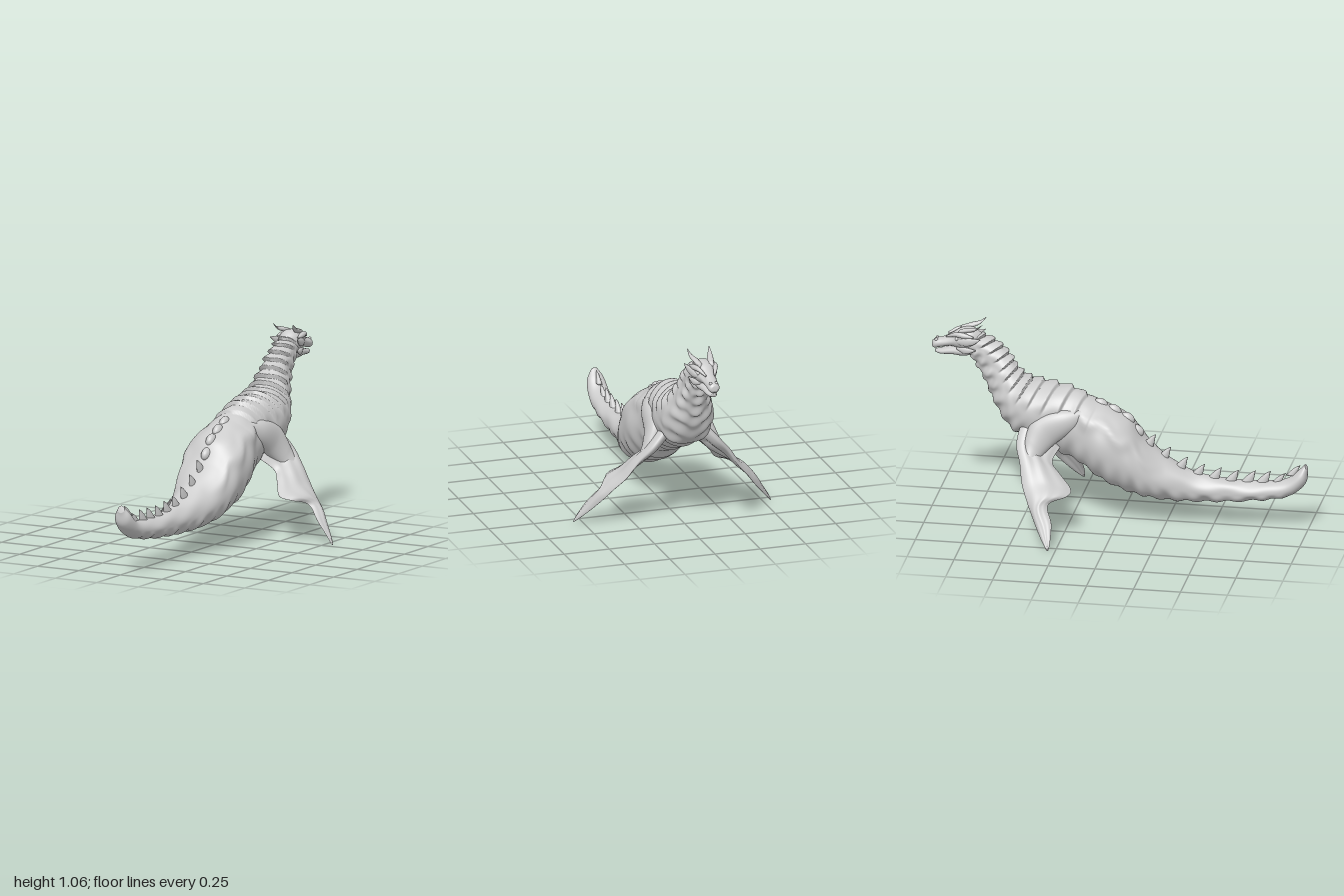
import * as THREE from 'three';

const material = new THREE.MeshStandardMaterial({ color: 0xcccccc });
const { smoothstep } = THREE.MathUtils;
const gauss = (x, s) => Math.exp(-(x * x) / (s * s));

// Smooth skin over cross-sections. Each row: [edge A xyz, edge B xyz, half thickness].
// bump(i, a) pushes the skin outward, camber(i) arches the section.
function loft(name, rows, { rings = 24, sides = 16, bump, camber, round = () => 1 } = {}) {
  const curve = (f) => new THREE.CatmullRomCurve3(rows.map(f), false, 'catmullrom', 0.5);
  const curveA = curve((r) => new THREE.Vector3(r[0], r[1], r[2]));
  const curveB = curve((r) => new THREE.Vector3(r[3], r[4], r[5]));
  const curveW = curve((r, k) => new THREE.Vector3(r[6], k, 0));
  const middle = (t) => curveA.getPoint(t).add(curveB.getPoint(t)).multiplyScalar(0.5);
  const pos = [], index = [];
  for (let r = 0; r <= rings; r++) {
    const t = r / rings, i = t * (rows.length - 1);
    const c = middle(t);
    const along = middle(Math.min(1, t + 0.005)).sub(middle(Math.max(0, t - 0.005)));
    const up = curveA.getPoint(t).sub(c), h = up.length();
    up.normalize();
    const side = along.cross(up).normalize();
    const w = Math.max(curveW.getPoint(t).x, 0.0005);
    for (let s = 0; s < sides; s++) {
      const a = (s / sides) * Math.PI * 2;
      const cos = Math.cos(a), sin = Math.sin(a), d = bump ? bump(i, a) : 0;
      const arch = camber ? camber(i) * sin * sin : 0;
      const p = c.clone().addScaledVector(up, cos * (h + d)).addScaledVector(side, sin * (w * round(cos) + d) + arch);
      pos.push(p.x, p.y, p.z);
    }
  }
  for (let r = 0; r < rings; r++) for (let s = 0; s < sides; s++) {
    const a = r * sides + s, b = r * sides + (s + 1) % sides;
    index.push(a, b, a + sides, b, b + sides, a + sides);
  }
  // end caps
  for (const [t, start] of [[0, 0], [1, rings * sides]]) {
    const c = middle(t), k = pos.length / 3;
    pos.push(c.x, c.y, c.z);
    for (let s = 0; s < sides; s++) {
      const a = start + s, b = start + (s + 1) % sides;
      if (t) index.push(k, a, b); else index.push(k, b, a);
    }
  }
  const g = new THREE.BufferGeometry();
  g.setAttribute('position', new THREE.Float32BufferAttribute(pos, 3));
  g.setIndex(index);
  g.computeVertexNormals();
  const mesh = new THREE.Mesh(g, material);
  mesh.name = name;
  return mesh;
}

// Section row lying on the centre line: top z, top y, bottom z, bottom y, half width
const midRow = ([tz, ty, bz, by, w]) => [0, ty, tz, 0, by, bz, w];

// Tapering limb through points [x, y, z, radius, thickness]
const limb = (name, points, up, options) => loft(name, points.map(([x, y, z, r, w = r]) => [
  x + up[0] * r, y + up[1] * r, z + up[2] * r, x - up[0] * r, y - up[1] * r, z - up[2] * r, w]), options);

function addPair(group, mesh) {
  const g = mesh.geometry.clone().scale(-1, 1, 1), ix = g.index.array;
  for (let k = 0; k < ix.length; k += 3) [ix[k], ix[k + 1]] = [ix[k + 1], ix[k]];
  g.computeVertexNormals();
  const other = new THREE.Mesh(g, material);
  other.name = 'right' + mesh.name;
  mesh.name = 'left' + mesh.name;
  group.add(mesh, other);
}

// Overlapping back plates, belly folds and side contours
function bodyRelief(i, a) {
  const cos = Math.cos(a), bend = Math.acos(cos);
  const plates = smoothstep(i, 9.4, 10.5) * (1 - smoothstep(i, 17.5, 18));
  const phase = i * 1.5 - bend * 0.45 + 10;
  const f = phase - Math.floor(phase);
  const step = Math.min(f / 0.12, 1) * (1 - f);
  let d = plates * smoothstep(cos, 0.15, 0.55) * (0.022 * step - 0.004);
  const fold = smoothstep(i, 1.5, 3) * (1 - smoothstep(i, 17, 18));
  d += fold * smoothstep(-cos, 0.1, 0.6) * 0.005 * Math.sin(i * 9);
  // shield edge over the hips
  const hip = smoothstep(i, 6, 7.5) * (1 - smoothstep(i, 9.8, 10.6));
  d += hip * 0.013 * gauss(bend - 0.95 - 0.12 * Math.sin(i * 4), 0.2);
  // throat and chest lumps
  const chest = smoothstep(i, 12, 13) * (1 - smoothstep(i, 17, 18));
  d += chest * smoothstep(-cos, -0.3, 0.4) * 0.006 * Math.sin(i * 8) * Math.cos(a * 5);
  return d + 0.003 * smoothstep(i, 2, 4) * (1 - smoothstep(i, 16, 18)) * Math.sin(i * 4.3) * Math.cos(a * 4);
}

const BODY = [
  [0.985, 0.37, 1.0, 0.335, 0.02], [0.955, 0.34, 0.985, 0.26, 0.048],
  [0.88, 0.28, 0.9, 0.19, 0.058], [0.75, 0.26, 0.76, 0.16, 0.064],
  [0.58, 0.26, 0.58, 0.14, 0.068], [0.4, 0.285, 0.42, 0.13, 0.075],
  [0.25, 0.36, 0.28, 0.13, 0.115], [0.13, 0.46, 0.15, 0.145, 0.157],
  [0.05, 0.57, 0.03, 0.175, 0.174], [-0.06, 0.63, -0.1, 0.235, 0.176],
  [-0.17, 0.675, -0.22, 0.32, 0.145], [-0.28, 0.72, -0.34, 0.37, 0.138],
  [-0.4, 0.74, -0.47, 0.43, 0.15], [-0.49, 0.76, -0.58, 0.49, 0.145],
  [-0.545, 0.805, -0.655, 0.6, 0.112], [-0.58, 0.865, -0.7, 0.7, 0.083],
  [-0.625, 0.92, -0.745, 0.79, 0.067], [-0.69, 0.965, -0.79, 0.86, 0.06],
  [-0.77, 0.995, -0.83, 0.885, 0.05],
];

export function createModel() {
  const model = new THREE.Group();
  model.name = 'seaDragon';
  model.add(loft('body', BODY.map(midRow), { rings: 420, sides: 72, bump: bodyRelief }));

  // Skull with upper snout, and lower jaw
  const head = new THREE.Group();
  head.name = 'head';
  head.add(loft('skull', [
    [-0.73, 0.985, -0.75, 0.92, 0.03], [-0.78, 1.018, -0.79, 0.9, 0.06],
    [-0.84, 1.015, -0.845, 0.9, 0.058], [-0.89, 0.985, -0.89, 0.912, 0.044],
    [-0.94, 0.958, -0.94, 0.905, 0.034], [-0.98, 0.948, -0.985, 0.895, 0.03],
    [-0.997, 0.935, -1.0, 0.905, 0.016],
  ].map(midRow), { rings: 48, sides: 32, bump: (i, a) => -0.008 * gauss(i - 3, 0.8) * gauss(Math.acos(Math.cos(a)) - 1.1, 0.4) }));
  head.add(loft('jaw', [
    [-0.76, 0.93, -0.79, 0.87, 0.035], [-0.82, 0.925, -0.83, 0.862, 0.05],
    [-0.89, 0.912, -0.89, 0.866, 0.038], [-0.95, 0.895, -0.95, 0.864, 0.028],
    [-0.982, 0.888, -0.98, 0.87, 0.014],
  ].map(midRow), { rings: 32, sides: 24 }));
  addPair(head, limb('Horn', [
    [0.03, 1.005, -0.85, 0.014], [0.04, 1.017, -0.8, 0.017],
    [0.053, 1.03, -0.755, 0.012], [0.06, 1.058, -0.722, 0.002]], [0, 0.85, 0.5]));
  addPair(head, limb('Brow', [
    [0.025, 0.97, -0.92, 0.005], [0.045, 0.99, -0.87, 0.012],
    [0.057, 0.99, -0.82, 0.014], [0.062, 0.985, -0.77, 0.004]], [0, 1, 0]));
  addPair(head, limb('CheekFrill', [
    [0.04, 0.95, -0.87, 0.008], [0.058, 0.955, -0.82, 0.022, 0.012],
    [0.071, 0.965, -0.77, 0.018, 0.009], [0.081, 0.982, -0.73, 0.002]], [0, 1, 0]));
  addPair(head, limb('JawFrill', [
    [0.035, 0.91, -0.86, 0.008], [0.053, 0.905, -0.81, 0.018, 0.01],
    [0.066, 0.915, -0.755, 0.002]], [0, 1, 0]));
  const eye = new THREE.Mesh(new THREE.SphereGeometry(0.01, 16, 12), material);
  eye.geometry.translate(0.045, 0.966, -0.86);
  eye.name = 'Eye';
  addPair(head, eye);
  const nostril = new THREE.Mesh(new THREE.SphereGeometry(0.009, 12, 8), material);
  nostril.geometry.translate(0.016, 0.945, -0.975);
  nostril.name = 'NostrilBump';
  addPair(head, nostril);
  model.add(head);

  // Shoulder muscle flowing into the flipper
  addPair(model, limb('Shoulder', [
    [0.09, 0.62, -0.16, 0.015], [0.115, 0.575, -0.27, 0.07, 0.045],
    [0.13, 0.51, -0.38, 0.09, 0.05], [0.17, 0.435, -0.43, 0.07, 0.04],
    [0.22, 0.375, -0.44, 0.045, 0.022], [0.27, 0.32, -0.43, 0.02, 0.006]],
  [0, 0.75, -0.6], { rings: 40, sides: 28 }));

  // Flipper: leading edge, trailing edge with two lobes, half thickness
  addPair(model, loft('Flipper', [
    [0.1, 0.54, -0.51, 0.1, 0.42, -0.3, 0.04], [0.18, 0.45, -0.52, 0.17, 0.36, -0.33, 0.034],
    [0.25, 0.37, -0.49, 0.215, 0.31, -0.28, 0.026], [0.31, 0.28, -0.468, 0.265, 0.25, -0.215, 0.02],
    [0.37, 0.21, -0.432, 0.33, 0.23, -0.228, 0.016], [0.42, 0.145, -0.395, 0.385, 0.2, -0.315, 0.014],
    [0.48, 0.075, -0.35, 0.455, 0.125, -0.285, 0.011], [0.525, 0.025, -0.312, 0.515, 0.05, -0.28, 0.008],
    [0.545, 0.004, -0.292, 0.54, 0.008, -0.284, 0.003]], {
    rings: 64, sides: 48,
    round: (cos) => 0.5 + 0.5 * cos + 0.12 * (1 + Math.cos(cos * 9)),
    camber: (i) => 0.03 * gauss(i - 4, 2.2),
  }));

  // Hooked spines along the tail and knobs on the hips
  const spines = [[0.93, 0.315], [0.85, 0.265], [0.77, 0.255], [0.69, 0.252], [0.6, 0.25],
    [0.51, 0.258], [0.42, 0.27], [0.33, 0.305], [0.24, 0.355], [0.16, 0.42]];
  spines.forEach(([z, y], k) => {
    const s = k < 2 ? 0.75 : 1;
    model.add(limb('tailSpine' + (k + 1), [
      [0, y - 0.01, z - 0.02, 0.035 * s, 0.02 * s], [0, y + 0.025 * s, z, 0.024 * s, 0.014 * s],
      [0, y + 0.05 * s, z + 0.016, 0.012 * s, 0.008 * s], [0, y + 0.064 * s, z + 0.03, 0.002]], [0, 0, 1], { rings: 14, sides: 14 }));
  });
  [[0.09, 0.5], [0.04, 0.565], [-0.03, 0.605], [-0.1, 0.635]].forEach(([z, y], k) => {
    const knob = new THREE.Mesh(new THREE.SphereGeometry(1, 20, 14), material);
    knob.name = 'backKnob' + (k + 1);
    knob.scale.set(0.025, 0.03, 0.04);
    knob.position.set(0, y, z);
    knob.rotation.x = 0.6;
    model.add(knob);
  });
  return model;
}
